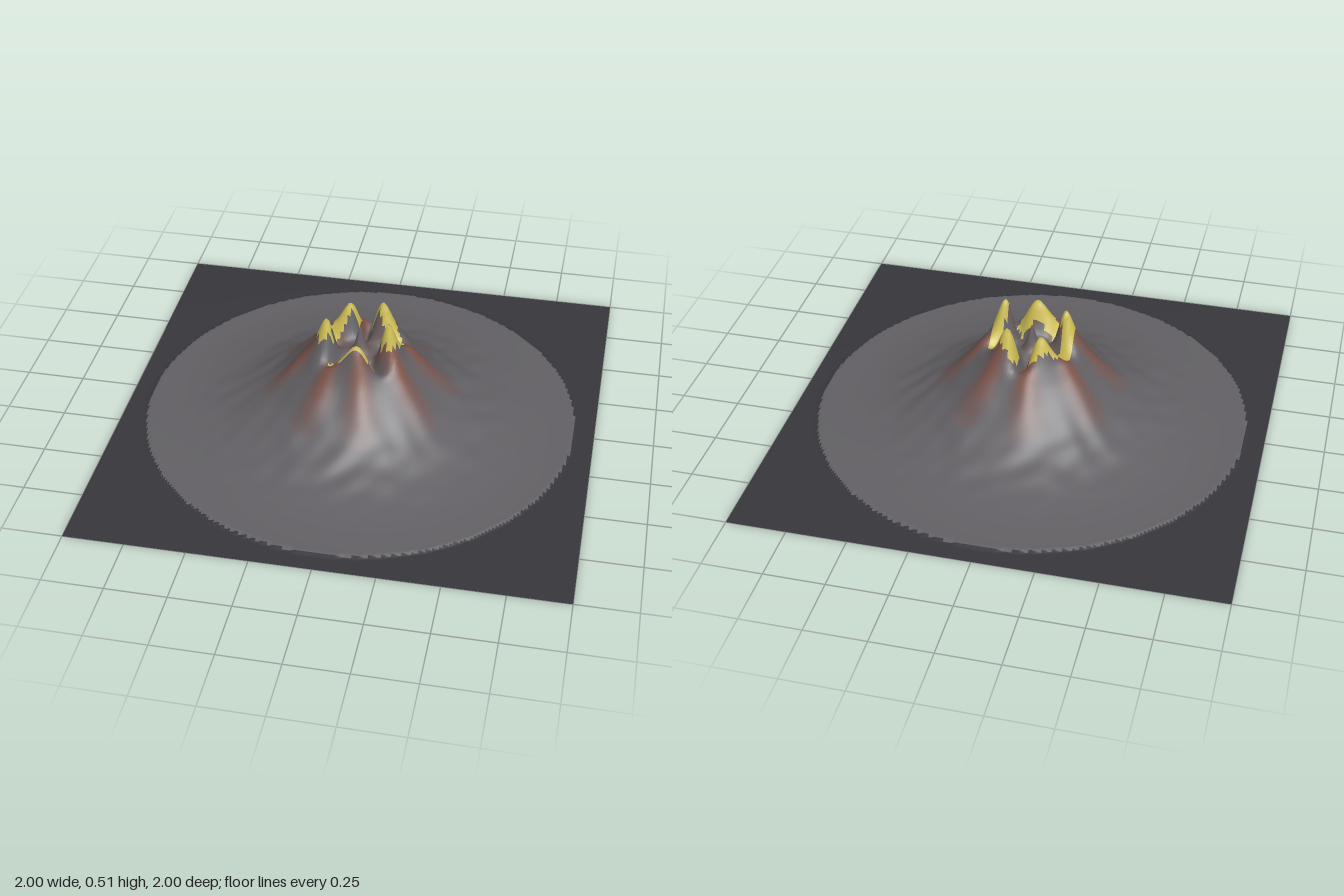
import * as THREE from 'three';

const N = 160; // grid cells per side
const DEG = Math.PI / 180;

// Height of the cone at radius 0, 0.05, 0.10 ... 0.95
const profile = new THREE.SplineCurve(
  [0.335, 0.325, 0.325, 0.365, 0.35, 0.288, 0.23, 0.18, 0.138, 0.108, 0.082, 0.061, 0.045,
    0.033, 0.024, 0.017, 0.012, 0.009, 0.007, 0.006].map((h, i) => new THREE.Vector2(i, h)));

// Rim crags: [angle from +x towards +z, radius, height]
const crags = [[24, 0.135, 0.515], [87, 0.16, 0.46], [160, 0.137, 0.50], [242, 0.137, 0.475], [300, 0.139, 0.49]];
// Notches cut through the rim between the crags: [angle, depth]
const notches = [[51, 0.085], [126, 0.06], [202, 0.05], [271, 0.09], [343, 0.04]];
// Lava streaks running down the flanks
const streaks = [-98, -56, -8, 34, 80, 118, 167, 213];
const EDGE = 0.917;

const bell = (d, w) => Math.exp(-(d * d) / (w * w));
const turn = (a, b) => ((((a - b) % 360) + 540) % 360) - 180;
const streakAt = (angle) => Math.max(...streaks.map((s) => bell(turn(angle, s), 11)));

function polar(x, z) {
  return { r: Math.hypot(x, z), a: Math.atan2(z, x) / DEG };
}

function height(x, z) {
  const { r, a } = polar(x, z);
  if (r > EDGE) return 0;
  let h = profile.getPoint(Math.min(r / 0.95, 1)).y;
  for (const [ca, cr, ch] of crags) {
    const base = profile.getPoint(cr / 0.95).y;
    h += (ch - base) * bell(turn(a, ca), 19) * bell(r - cr, r < cr ? 0.035 : 0.045);
  }
  for (const [na, depth] of notches) h -= depth * bell(turn(a, na), 13) * bell(r - 0.145, 0.05);
  // narrow plug in the middle of the crater
  h += 0.11 * bell(r, 0.022);
  // ribs on the flanks
  h += 0.022 * (streakAt(a) - 0.45) * bell(r - 0.26, 0.11);
  // gentle lumps on the lower slopes
  const lumps = Math.sin(17 * x + 5 * z + 2 * Math.sin(11 * z)) * Math.sin(21 * z - 6 * x + 1.7 * Math.sin(13 * x))
    + 0.5 * Math.sin(37 * x + 1) * Math.sin(33 * z + 9 * x);
  return Math.max(h + 0.005 * lumps * bell(r - 0.45, 0.17), 0.004);
}

// Which zone a cell belongs to
function zoneAt(x, z) {
  const { r, a } = polar(x, z);
  if (r > EDGE) return 'ground';
  const inGap = [[47, 9], [138, 9], [271, 10]].some(([g, w]) => Math.abs(turn(a, g)) < w);
  if (r > 0.122 && r < 0.178 && !inGap) return 'sulphurRim';
  const fade = r < 0.122 ? 0.45 : THREE.MathUtils.clamp((0.44 - r) / 0.2, 0, 1);
  const level = Math.round(4 * streakAt(a) * fade);
  return level ? 'lavaStreak' + level : 'slope';
}

export function createModel() {
  const group = new THREE.Group();
  group.name = 'volcano';

  // Height field over the square base
  const field = new THREE.PlaneGeometry(2, 2, N, N).rotateX(-Math.PI / 2);
  const pos = field.attributes.position;
  for (let i = 0; i < pos.count; i++) pos.setY(i, height(pos.getX(i), pos.getZ(i)));
  field.computeVertexNormals();

  // Sort the cells (two triangles each) into zones
  const zones = {};
  const index = field.index.array;
  for (let i = 0; i < index.length; i += 6) {
    const cell = Array.from(index.slice(i, i + 6));
    const cx = (pos.getX(cell[0]) + pos.getX(cell[4])) / 2;
    const cz = (pos.getZ(cell[0]) + pos.getZ(cell[4])) / 2;
    (zones[zoneAt(cx, cz)] ??= []).push(...cell);
  }

  // One mesh per zone, sharing positions and smooth normals
  const rock = new THREE.Color(0x626064);
  const lava = new THREE.Color(0x7d5348);
  const colours = { ground: new THREE.Color(0x37363b), slope: rock, sulphurRim: new THREE.Color(0xcbbb50) };
  for (const [name, faces] of Object.entries(zones)) {
    const geometry = new THREE.BufferGeometry();
    geometry.setAttribute('position', pos);
    geometry.setAttribute('normal', field.attributes.normal);
    geometry.setIndex(faces);
    const color = colours[name] ?? rock.clone().lerp(lava, Number(name.slice(-1)) / 4);
    const mesh = new THREE.Mesh(geometry, new THREE.MeshStandardMaterial({ color, side: THREE.DoubleSide }));
    mesh.name = name;
    group.add(mesh);
  }
  return group;
}
